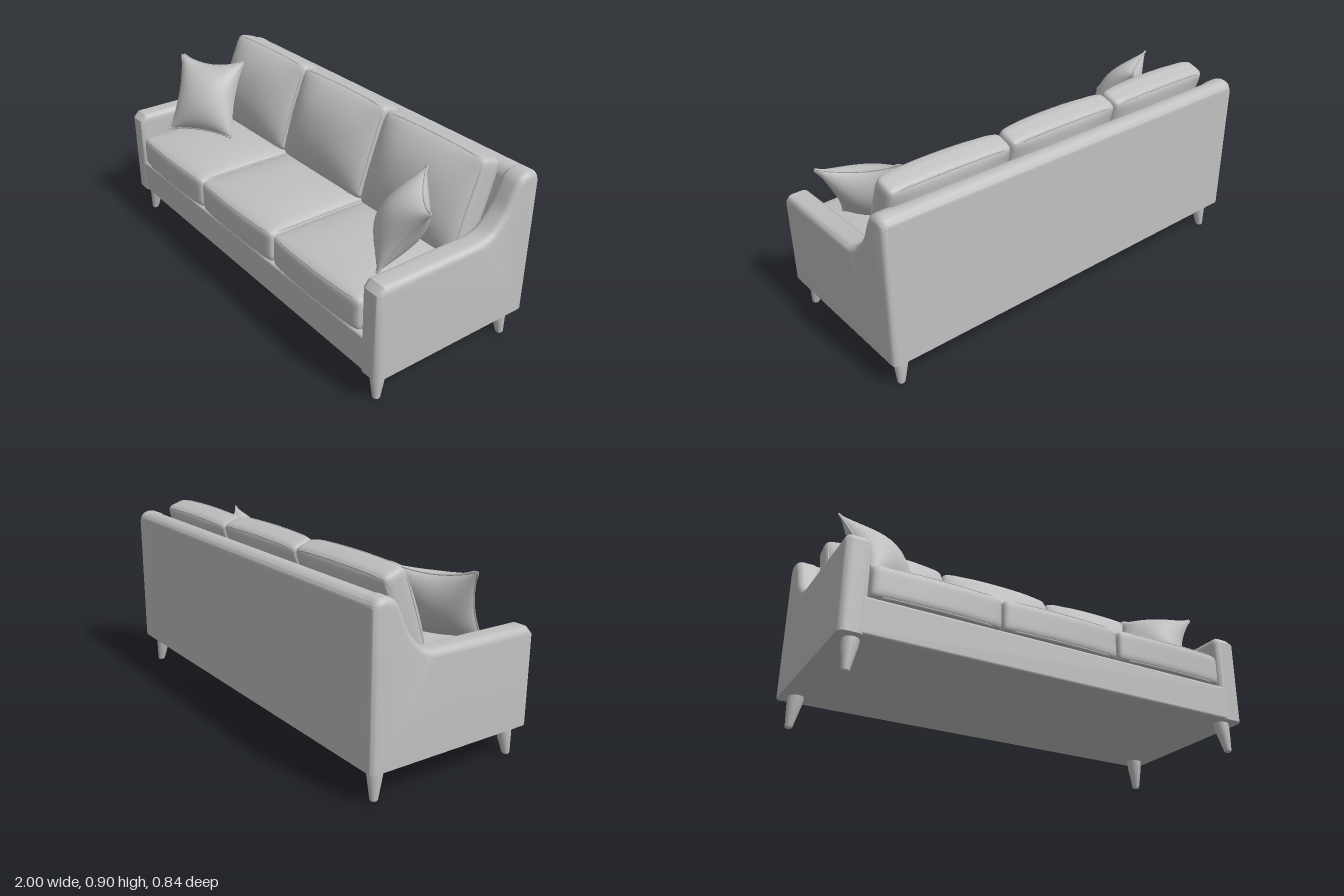
import * as THREE from 'three';
import { mergeVertices, toCreasedNormals } from 'three/addons/utils/BufferGeometryUtils.js';
import { RoundedBoxGeometry } from 'three/addons/geometries/RoundedBoxGeometry.js';

const fabric = new THREE.MeshStandardMaterial({ color: 0xc0c0c0 });
fabric.name = 'grey fabric';

const V = (x, y, z) => new THREE.Vector3(x, y, z);
const FLOOR = 0.14; // underside of the body
const REAR = -0.42;

function addMesh(parent, name, geometry) {
  const mesh = new THREE.Mesh(geometry, fabric);
  mesh.name = name;
  parent.add(mesh);
  return mesh;
}

// Moves every vertex of a geometry by a rule
function warp(geometry, rule) {
  const pos = geometry.attributes.position;
  const p = V(0, 0, 0);
  for (let i = 0; i < pos.count; i++) {
    rule(p.fromBufferAttribute(pos, i));
    pos.setXYZ(i, p.x, p.y, p.z);
  }
  return geometry;
}

// Side profile (z, y) extruded along x with soft edges, cut flat below and behind
function softPanel(shape, width, bevel) {
  const depth = width - 2 * bevel;
  const geometry = new THREE.ExtrudeGeometry(shape, {
    depth, bevelSize: bevel, bevelThickness: bevel, bevelSegments: 5, curveSegments: 10,
  });
  geometry.rotateY(-Math.PI / 2).translate(depth / 2, 0, 0);
  warp(geometry, (p) => {
    p.y = Math.max(p.y, FLOOR);
    p.z = Math.max(p.z, REAR);
  });
  return toCreasedNormals(geometry, 0.7);
}

function armShape() {
  const s = new THREE.Shape();
  s.moveTo(-0.395, 0.1);
  s.lineTo(0.372, 0.1);
  s.lineTo(0.374, 0.528);
  s.lineTo(0.362, 0.541);
  s.lineTo(-0.12, 0.544);
  s.splineThru([
    [-0.165, 0.553], [-0.215, 0.582], [-0.275, 0.65], [-0.315, 0.735],
    [-0.335, 0.772], [-0.36, 0.786], [-0.385, 0.783], [-0.395, 0.765],
  ].map(([z, y]) => new THREE.Vector2(z, y)));
  s.lineTo(-0.395, 0.1);
  return s;
}

function backShape() {
  const s = new THREE.Shape();
  s.moveTo(-0.395, 0.1);
  s.lineTo(-0.345, 0.1);
  s.lineTo(-0.345, 0.765);
  s.quadraticCurveTo(-0.35, 0.785, -0.37, 0.786);
  s.quadraticCurveTo(-0.393, 0.785, -0.395, 0.765);
  s.lineTo(-0.395, 0.1);
  return s;
}

// Closed piping around a cushion edge
const piping = (points, radius = 0.005) => new THREE.TubeGeometry(
  new THREE.CatmullRomCurve3(points, true, 'centripetal'), 96, radius, 6, true);

// Soft box with half sizes h, crowned along local z by front and rear amounts
function cushion(name, h, front, rear) {
  const group = new THREE.Group();
  group.name = name;
  const r = 0.03;
  const crown = (p) => {
    const u = Math.min(1, Math.abs(p.x / h.x)), v = Math.min(1, Math.abs(p.y / h.y));
    const puff = (1 - u ** 3) * (1 - v ** 2.4);
    p.y *= 1 + 0.04 * (1 - u * u);
    p.z += (p.z > 0 ? front : rear) * puff * p.z / h.z;
  };
  let body = new THREE.BoxGeometry(2, 2, 2, 20, 20, 12);
  body.deleteAttribute('uv');
  body.deleteAttribute('normal');
  const limit = h.clone().subScalar(r);
  warp(body, (p) => {
    p.set(...p.toArray().map((t) => Math.sin(t * Math.PI / 2))).multiply(h);
    const core = p.clone().clamp(limit.clone().negate(), limit);
    p.sub(core);
    if (p.length() > r) p.setLength(r);
    p.add(core);
    crown(p);
  });
  body = mergeVertices(body, 1e-5);
  body.computeVertexNormals();
  addMesh(group, 'cushionBody', body);

  for (const side of [-1, 1]) {
    const points = [];
    for (let i = 0; i < 64; i++) {
      const a = (i / 64) * Math.PI * 2, c = Math.cos(a), s = Math.sin(a);
      const p = V(Math.sign(c) * Math.abs(c) ** 0.15 * (h.x - 0.009),
        Math.sign(s) * Math.abs(s) ** 0.15 * (h.y - 0.009), side * (h.z - 0.009));
      crown(p);
      points.push(p);
    }
    addMesh(group, 'cushionPiping', piping(points, 0.004));
  }
  return group;
}

// Square throw pillow: centre, half vectors across and up, pinched edges
function pillow(name, centre, across, up) {
  const group = new THREE.Group();
  group.name = name;
  const normal = across.clone().cross(up).normalize();
  const place = (u, v, n) => centre.clone()
    .addScaledVector(across, u * (1 - 0.13 * (1 - v * v)))
    .addScaledVector(up, v * (1 - (v > 0 ? 0.2 : 0.1) * (1 - u * u)))
    .addScaledVector(normal, n * 0.095 * ((1 - u * u) * (1 - v * v)) ** 0.6);
  for (const side of [1, -1]) {
    const face = warp(new THREE.PlaneGeometry(2, 2, 20, 20), (p) => p.copy(
      place(side * Math.sin(p.x * Math.PI / 2), Math.sin(p.y * Math.PI / 2), side)));
    face.computeVertexNormals();
    addMesh(group, side > 0 ? 'pillowFront' : 'pillowBack', face);
  }
  const rim = [];
  const corners = [[-1, -1], [1, -1], [1, 1], [-1, 1]];
  corners.forEach(([u, v], i) => {
    const [u2, v2] = corners[(i + 1) % 4];
    for (let k = 0; k < 8; k++) rim.push(place(u + (u2 - u) * k / 8, v + (v2 - v) * k / 8, 0));
  });
  addMesh(group, 'pillowPiping', piping(rim));
  return group;
}

export function createModel() {
  const sofa = new THREE.Group();
  sofa.name = 'sofa';

  // Frame: base rail, back and the two sloping arms
  addMesh(sofa, 'seatBase', new RoundedBoxGeometry(1.94, 0.165, 0.81, 4, 0.012))
    .position.set(0, FLOOR + 0.0825, -0.005);
  addMesh(sofa, 'backPanel', softPanel(backShape(), 1.95, 0.03));
  for (const side of [-1, 1]) {
    addMesh(sofa, side > 0 ? 'leftArm' : 'rightArm', softPanel(armShape(), 0.11, 0.03))
      .position.x = side * 0.943;
  }

  // Three seat cushions and three leaning back cushions
  [-0.593, -0.005, 0.587].forEach((x, i) => {
    const seat = cushion('seatCushion', V(0.293, 0.3, 0.077), 0.035, 0);
    seat.rotation.x = -Math.PI / 2;
    seat.position.set(x, 0.381, 0.105);
    sofa.add(seat);

    const back = cushion('backCushion', V(0.299, 0.222, 0.055), 0.085, 0.03);
    back.rotation.x = -0.33;
    back.position.set([-0.608, -0.008, 0.592][i], 0.665 - [0, 0.004, 0.012][i], -0.19);
    sofa.add(back);
  });

  // Throw pillows
  sofa.add(pillow('rightPillow', V(-0.745, 0.665, 0.095), V(0.148, 0.003, -0.095), V(-0.06, 0.168, -0.083)));
  sofa.add(pillow('leftPillow', V(0.748, 0.643, 0.08), V(0.133, -0.012, 0.115), V(0.083, 0.155, -0.052)));

  // Tapered legs, leaning so that their outer edges stay upright
  const profile = [[0, 0], [0.014, 0], [0.017, 0.005], [0.026, 0.06], [0.034, 0.11], [0.036, 0.15]];
  for (const sx of [-1, 1]) {
    for (const sz of [-1, 1]) {
      const leg = new THREE.LatheGeometry(profile.map(([r, y]) => new THREE.Vector2(r, y)), 20);
      warp(leg, (p) => {
        const lean = 0.016 * (1 - p.y / 0.15);
        p.x += sx * lean;
        p.z += sz * lean;
      });
      leg.computeVertexNormals();
      addMesh(sofa, (sz > 0 ? 'front' : 'rear') + (sx > 0 ? 'LeftLeg' : 'RightLeg'), leg)
        .position.set(sx * 0.924, 0, sz > 0 ? 0.331 : -0.347);
    }
  }
  return sofa;
}
